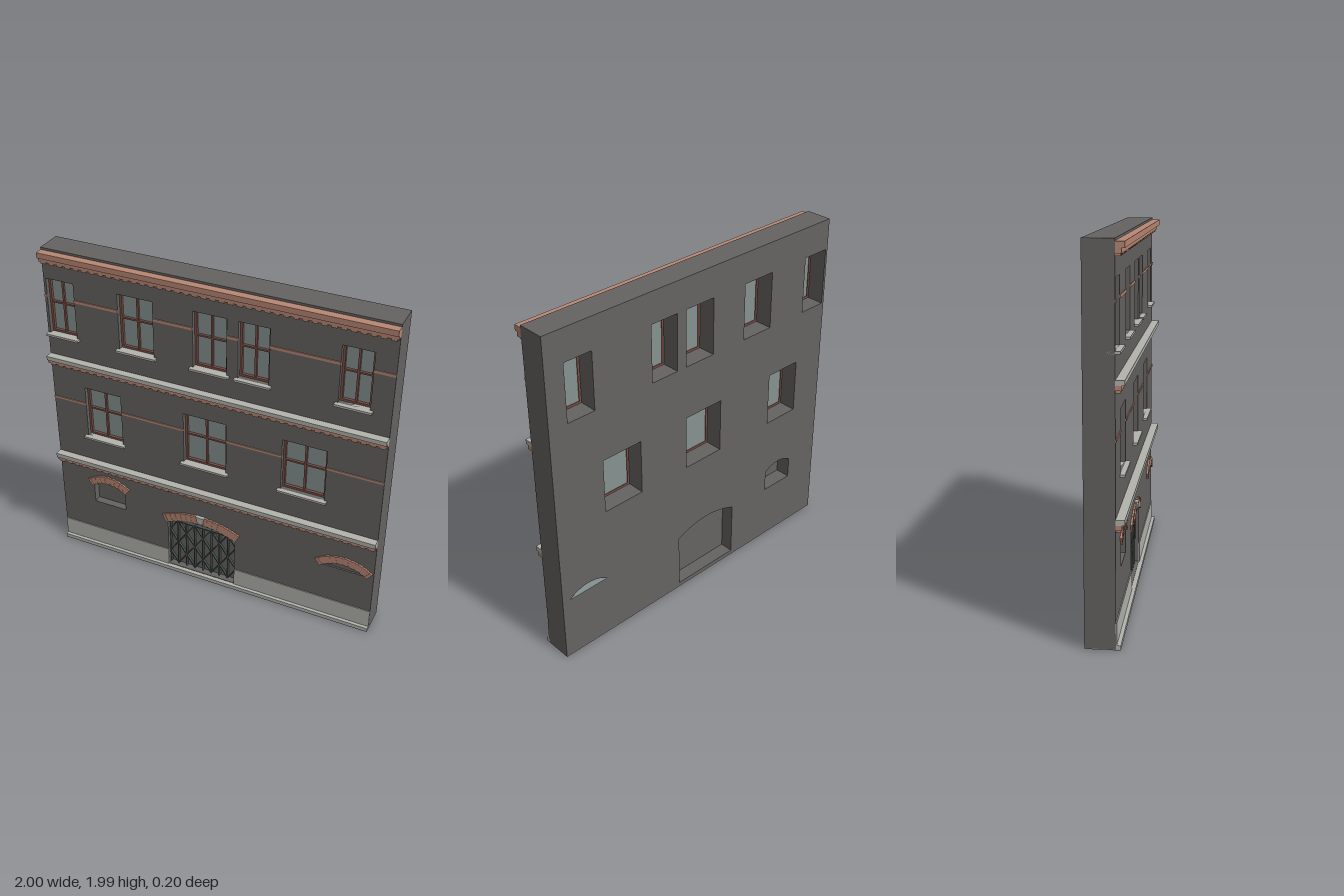
import * as THREE from 'three';
import { mergeGeometries } from 'three/addons/utils/BufferGeometryUtils.js';

const FRONT = 0.055, BACK = -0.1, GROUND = 0.004;

function material(name, color) {
  const m = new THREE.MeshStandardMaterial({ color });
  m.name = name;
  return m;
}

// Box from its limits on each axis
function boxGeo(x0, x1, y0, y1, z0, z1) {
  return new THREE.BoxGeometry(x1 - x0, y1 - y0, z1 - z0)
    .translate((x0 + x1) / 2, (y0 + y1) / 2, (z0 + z1) / 2);
}

// Flat bar between two points in a plane facing +z
function barGeo(ax, ay, bx, by, width, z0, z1) {
  return new THREE.BoxGeometry(Math.hypot(bx - ax, by - ay), width, z1 - z0)
    .rotateZ(Math.atan2(by - ay, bx - ax))
    .translate((ax + bx) / 2, (ay + by) / 2, (z0 + z1) / 2);
}

// Opening with a segmental arch on top
function trace(path, o) {
  path.moveTo(o.x0, o.y0);
  path.lineTo(o.x1, o.y0);
  if (o.spring > o.y0) path.lineTo(o.x1, o.spring);
  const { cx, cy, r, half } = arc(o);
  path.absarc(cx, cy, r, Math.PI / 2 - half, Math.PI / 2 + half, false);
  path.closePath();
  return path;
}

function arc(o) {
  const w = (o.x1 - o.x0) / 2;
  const r = (w * w + o.rise * o.rise) / (2 * o.rise);
  return { cx: (o.x0 + o.x1) / 2, cy: o.spring + o.rise - r, r, half: Math.asin(w / r) };
}

export function createModel() {
  const model = new THREE.Group();
  model.name = 'facade';
  const wall = material('dark render', 0x656361);
  const brick = material('brick', 0xb98874);
  const stone = material('pale stone', 0xb3b4ae);
  const glass = material('glass', 0x859290);
  const frame = material('window frame', 0x7c4f47);
  const iron = material('gate iron', 0x46524e);

  const add = (name, geo, mat, parent = model) => {
    const mesh = new THREE.Mesh(Array.isArray(geo) ? mergeGeometries(geo) : geo, mat);
    mesh.name = name;
    parent.add(mesh);
    return mesh;
  };

  // Window rows: sides of each window, heights, transom, string course
  const rows = [
    { spans: [[-0.985, -0.815], [-0.545, -0.335], [-0.1, 0.095], [0.16, 0.335], [0.715, 0.885]],
      y0: 1.475, y1: 1.81, bar: 1.66, string: [1.698, 1.714] },
    { spans: [[-0.79, -0.56], [-0.165, 0.095], [0.425, 0.68]],
      y0: 0.833, y1: 1.158, bar: 1.015, string: [1.043, 1.056] },
  ];
  const niche = { x0: -0.777, x1: -0.567, y0: 0.345, spring: 0.475, rise: 0.035 };
  const gate = { x0: -0.28, x1: 0.155, y0: 0.028, spring: 0.36, rise: 0.05 };
  const vent = { x0: 0.69, x1: 0.955, y0: 0.385, spring: 0.385, rise: 0.045 };

  // Wall with all openings
  const shape = new THREE.Shape();
  shape.moveTo(-1, GROUND).lineTo(1, GROUND).lineTo(1, 1.99).lineTo(-1, 1.99).closePath();
  for (const row of rows) for (const [x0, x1] of row.spans) {
    const hole = new THREE.Path();
    hole.moveTo(x0, row.y0).lineTo(x0, row.y1).lineTo(x1, row.y1).lineTo(x1, row.y0).closePath();
    shape.holes.push(hole);
  }
  for (const o of [niche, gate, vent]) shape.holes.push(trace(new THREE.Path(), o));
  const extrude = (s, z0, z1) => new THREE.ExtrudeGeometry(s,
    { depth: z1 - z0, bevelEnabled: false, curveSegments: 14 }).translate(0, 0, z0);
  add('wall', extrude(shape, BACK, FRONT), wall);
  add('underside', boxGeo(-1, 1, 0, GROUND, BACK, 0.08), glass);

  // Blind panels inside the arched openings
  add('nichePanel', extrude(trace(new THREE.Shape(), niche), -0.01, 0.01), wall);
  add('gatePanel', extrude(trace(new THREE.Shape(), gate), -0.02, 0.015), wall);
  add('ventPanel', extrude(trace(new THREE.Shape(), vent), 0.03, 0.045), wall);
  add('ventFloor', boxGeo(vent.x0 + 0.005, vent.x1 - 0.005, vent.y0, vent.y0 + 0.002, BACK, 0.03), glass);

  // Windows with frames, glazing bars and sills
  for (const row of rows) {
    const { y0, y1, bar, string } = row;
    let from = -1;
    const courses = [];
    for (const [x0, x1] of row.spans) {
      const win = new THREE.Group();
      win.name = 'window';
      model.add(win);
      const mid = (x0 + x1) / 2, t = 0.013, za = 0.004, zb = 0.03;
      add('pane', boxGeo(x0, x1, y0, y1, 0.008, 0.014), glass, win);
      add('glazingBars', [
        boxGeo(x0, x0 + t, y0, y1, za, zb), boxGeo(x1 - t, x1, y0, y1, za, zb),
        boxGeo(x0 + t, x1 - t, y0, y0 + t, za, zb), boxGeo(x0 + t, x1 - t, y1 - t, y1, za, zb),
        boxGeo(mid - 0.006, mid + 0.006, y0 + t, y1 - t, 0.01, 0.026),
        boxGeo(x0 + t, x1 - t, bar - 0.005, bar + 0.005, 0.01, 0.028),
      ], frame, win);
      add('sill', boxGeo(Math.max(x0 - 0.016, -1), x1 + 0.016, y0 - 0.013, y0, 0.02, 0.08), stone, win);
      courses.push(boxGeo(from, x0, string[0], string[1], FRONT, 0.06));
      from = x1;
    }
    courses.push(boxGeo(from, 1, string[0], string[1], FRONT, 0.06));
    add('stringCourse', courses, brick);
  }

  // Cornices: projecting cap, brick band, row of dentils
  for (const [y, cap, mat] of [[1.92, 1.977, brick], [1.29, 1.34, stone], [0.612, 0.665, stone]]) {
    const cornice = new THREE.Group();
    cornice.name = 'cornice';
    model.add(cornice);
    add('cap', boxGeo(-1, 1, y + 0.025, cap, FRONT, 0.1), mat, cornice);
    add('band', boxGeo(-1, 1, y, y + 0.025, FRONT, 0.085), brick, cornice);
    const teeth = [];
    for (let i = 0; i < 40; i++) {
      const x = -0.975 + i * 0.05;
      teeth.push(boxGeo(x - 0.015, x + 0.015, y - 0.012, y, FRONT, 0.08));
    }
    add('dentils', teeth, brick, cornice);
  }

  // Stone base either side of the gate, and the plinth
  add('base', [boxGeo(-1, gate.x0, 0.025, 0.14, FRONT, 0.06),
    boxGeo(gate.x1, 1, 0.025, 0.14, FRONT, 0.06)], stone);
  add('plinth', boxGeo(-1, 1, GROUND, 0.025, FRONT, 0.08), stone);

  // Brick arches of radial bricks, alternately longer
  for (const [name, o, count, height] of [['nicheArch', niche, 17, 0.046],
    ['gateArch', gate, 29, 0.054], ['ventArch', vent, 19, 0.046]]) {
    const { cx, cy, r, half } = arc(o);
    const spread = half + 0.008 / r, bricks = [];
    const width = 2 * spread * (r + height) / count;
    for (let i = 0; i < count; i++) {
      const a = spread * (1 - (2 * i + 1) / count), extra = i % 2 ? 0 : 0.005;
      bricks.push(new THREE.BoxGeometry(width, height + extra, 0.01 + extra / 2)
        .translate(0, r + height / 2, 0).rotateZ(a).translate(cx, cy, FRONT + 0.005));
    }
    add(name, bricks, brick);
  }
  add('keystone', [boxGeo(-0.083, -0.04, 0.425, 0.462, FRONT, 0.072),
    boxGeo(-0.087, -0.036, 0.455, 0.468, FRONT, 0.076)], stone);

  // Folding gate: posts and stacked lattice diamonds
  const bars = [], leaves = 4, leaf = (gate.x1 - gate.x0) / leaves;
  const low = 0.03, high = 0.36, step = (high - low) / 4;
  for (let i = 0; i <= leaves * 2; i++) {
    const x = Math.min(Math.max(gate.x0 + i * leaf / 2, gate.x0 + 0.004), gate.x1 - 0.004);
    bars.push(boxGeo(x - 0.003, x + 0.003, low, high, 0.015, 0.035));
  }
  for (let i = 0; i < leaves; i++) for (let j = 0; j < 4; j++) {
    const a = gate.x0 + i * leaf, m = a + leaf / 2, b = a + leaf;
    const y0 = low + j * step, y1 = y0 + step;
    const [s, e] = j % 2 ? [y1, y0] : [y0, y1];
    bars.push(barGeo(m, s, a, e, 0.006, 0.018, 0.032), barGeo(m, s, b, e, 0.006, 0.018, 0.032));
  }
  bars.push(boxGeo(gate.x0, gate.x1, high - 0.006, high, 0.015, 0.035));
  add('gateLattice', bars, iron);

  return model;
}
